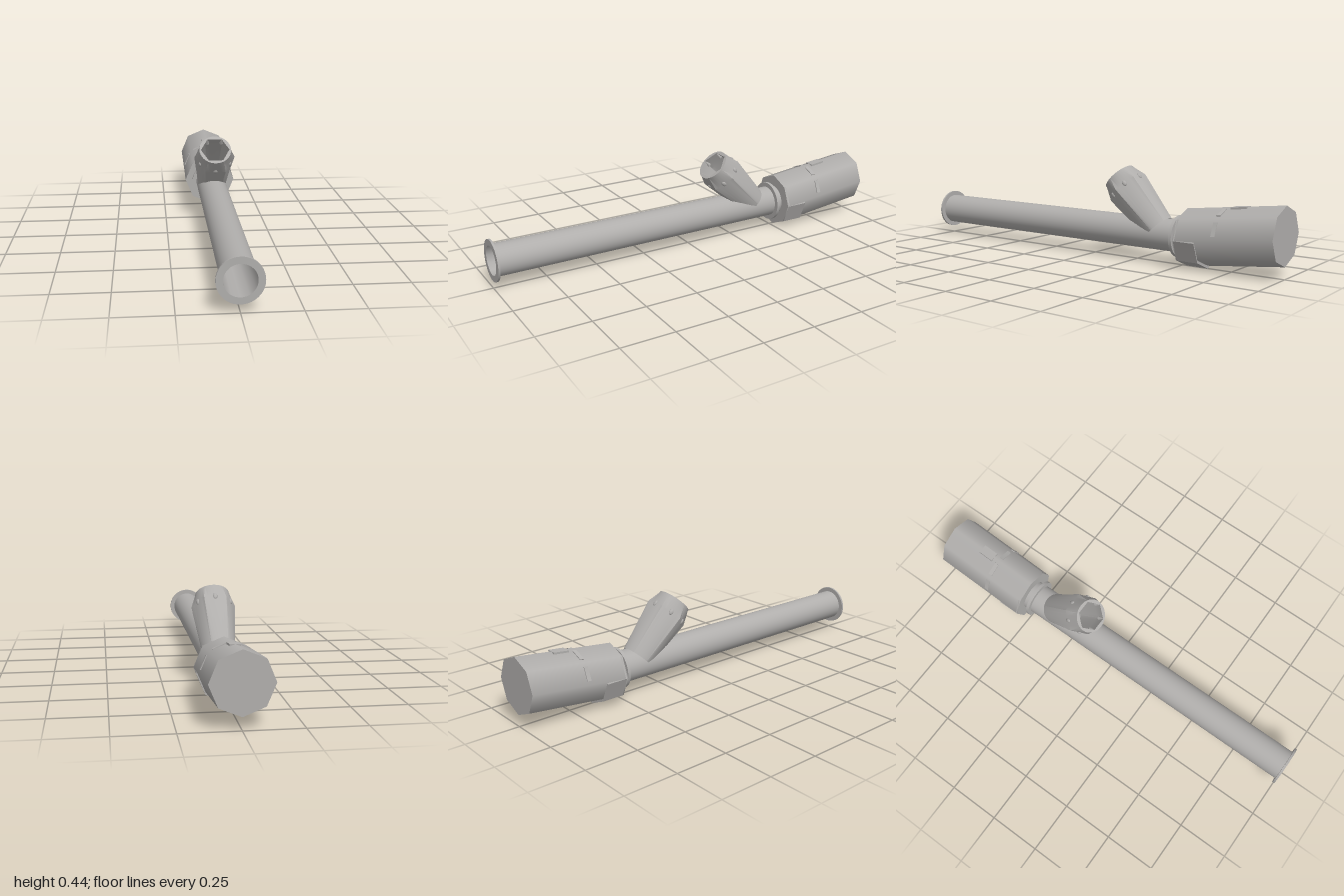
import * as THREE from 'three';
import { toCreasedNormals } from 'three/addons/utils/BufferGeometryUtils.js';

const AXIS_Y = 0.135;
const steel = new THREE.MeshStandardMaterial({ color: 0xb0aeac, side: THREE.DoubleSide });
steel.name = 'steel grey';

function add(parent, name, geometry) {
  const mesh = new THREE.Mesh(geometry, steel);
  mesh.name = name;
  parent.add(mesh);
  return mesh;
}

// Octagonal prism along z, one corner pointing down
function octagon(radius, zFront, zBack) {
  const g = new THREE.CylinderGeometry(radius, radius, zFront - zBack, 8);
  g.rotateX(Math.PI / 2);
  return g.translate(0, AXIS_Y, (zFront + zBack) / 2);
}

// Raise a geometry steadily towards the back
const rise = (z) => (-0.52 - z) * 0.112;
function shear(g) {
  const p = g.attributes.position;
  for (let i = 0; i < p.count; i++) p.setY(i, p.getY(i) + rise(p.getZ(i)));
  return g;
}

function buildPipe(group) {
  // Outer tube with a thin flange at both ends
  const profile = [
    [0.075, -0.525], [0.075, -0.493], [0.097, -0.493], [0.097, -0.478],
    [0.075, -0.478], [0.075, 0.99], [0.097, 0.99], [0.097, 1], [0.068, 1],
  ].map(([r, z]) => new THREE.Vector2(r, z));
  const outer = new THREE.LatheGeometry(profile, 40).rotateX(Math.PI / 2);
  add(group, 'pipe', toCreasedNormals(outer, 0.6)).position.y = AXIS_Y;

  // Faceted bore
  const bore = new THREE.CylinderGeometry(0.07, 0.07, 1.52, 12, 1, true);
  bore.rotateX(Math.PI / 2).translate(0, AXIS_Y, 0.24);
  add(group, 'pipeBore', bore);
}

function buildBranch(group) {
  const branch = new THREE.Group();
  branch.name = 'branch';
  branch.position.set(0, 0.16, -0.37);
  branch.rotation.x = Math.PI / 4;
  group.add(branch);

  // Round foot, six-sided shoulder, round rim and six-sided mouth: radius, height, six-sided
  const rings = [
    [0.074, 0, false], [0.103, 0.25, true], [0.08, 0.316, false], [0.08, 0.32, false],
    [0.072, 0.32, true], [0.085, 0.25, true], [0.06, 0.04, false], [0.0001, 0.04, false],
  ];
  const g = new THREE.LatheGeometry(rings.map(([r, y]) => new THREE.Vector2(r, y)), 36);
  const p = g.attributes.position;
  const sector = Math.PI / 3;
  for (let i = 0; i < p.count; i++) {
    if (!rings[i % rings.length][2]) continue;
    const a = Math.atan2(p.getX(i), p.getZ(i));
    const off = a - Math.round(a / sector) * sector;
    const k = Math.cos(sector / 2) / Math.cos(off);
    p.setX(i, p.getX(i) * k);
    p.setZ(i, p.getZ(i) * k);
  }
  add(branch, 'branchSocket', toCreasedNormals(g, 0.5));

  for (let i = 0; i < 6; i++) {
    // Small studs on the shoulder faces
    const a = i * sector;
    const stud = add(branch, 'shoulderStud', new THREE.SphereGeometry(0.011, 8, 6));
    stud.scale.set(1, 1.4, 0.6);
    stud.position.set(Math.sin(a) * 0.088, 0.25, Math.cos(a) * 0.088);
    stud.rotation.y = a;
    // Pointed teeth in the corners of the mouth
    const b = a + sector / 2;
    const tooth = add(branch, 'mouthTooth', new THREE.ConeGeometry(0.01, 0.035, 6));
    tooth.position.set(Math.sin(b) * 0.071, 0.303, Math.cos(b) * 0.071);
  }
}

function buildBody(group) {
  // Rising octagonal body with a straight collar at its front
  add(group, 'body', shear(octagon(0.132, -0.52, -1)));
  add(group, 'collar', toCreasedNormals(octagon(0.1325, -0.525, -0.63), 0.3));

  // Thin strips across the four upper faces
  const apothem = 0.132 * Math.cos(Math.PI / 8);
  for (const deg of [-67.5, -22.5, 22.5, 67.5]) {
    const a = THREE.MathUtils.degToRad(deg);
    const strip = new THREE.BoxGeometry(0.065, 0.006, 0.02);
    strip.translate(0, apothem + 0.001, 0).rotateZ(-a).translate(0, AXIS_Y, -0.72);
    add(group, 'bodyStrip', shear(strip));
  }

  // Raised latch on the top ridge
  const latch = new THREE.BoxGeometry(0.046, 0.009, 0.075);
  latch.translate(0, AXIS_Y + 0.128, -0.787);
  add(group, 'latch', shear(latch));
}

export function createModel() {
  const group = new THREE.Group();
  group.name = 'branchedPipe';
  buildPipe(group);
  buildBranch(group);
  buildBody(group);
  return group;
}
